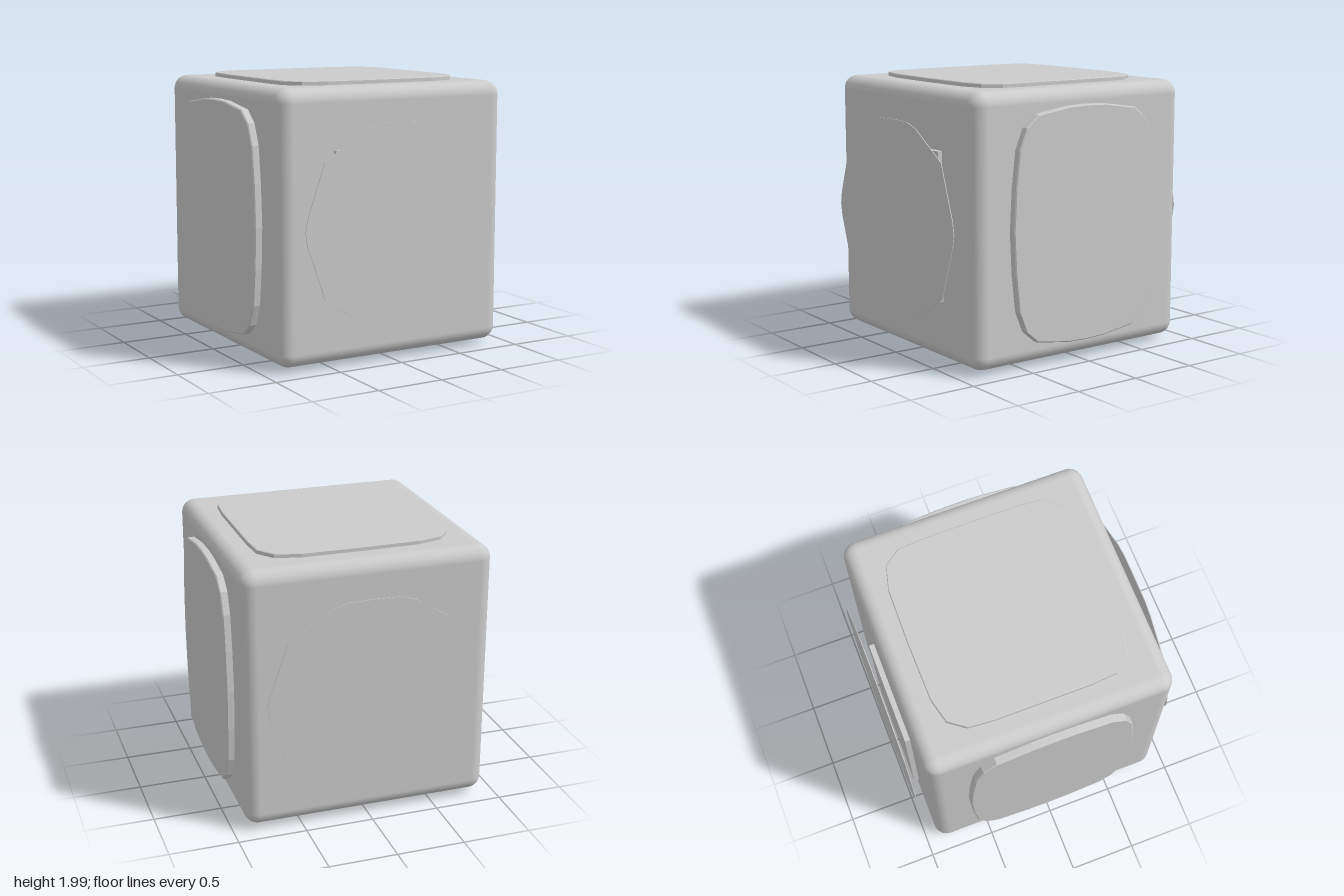
import * as THREE from 'three';
import { RoundedBoxGeometry } from 'three/addons/geometries/RoundedBoxGeometry.js';

const CY = 0.995; // height of the cube's centre

// Mirrors one quadrant of an outline (from the +x axis up to the +y axis) into a closed shape.
function mirroredShape(quadrant) {
  const half = [...quadrant, ...quadrant.slice(0, -1).reverse().map(([x, y]) => [-x, y])];
  const lower = half.slice(1, -1).reverse().map(([x, y]) => [x, -y]);
  return new THREE.Shape([...half, ...lower].map(([x, y]) => new THREE.Vector2(x, y)));
}

// Flat panel growing along +z from z = 0, with an optional small bevel at its outer rim.
function panelGeometry(quadrant, depth, bevel = 0) {
  return new THREE.ExtrudeGeometry(mirroredShape(quadrant), {
    depth: depth - bevel,
    bevelEnabled: bevel > 0,
    bevelThickness: bevel,
    bevelSize: bevel,
    bevelOffset: -bevel,
    bevelSegments: 1,
  });
}

export function createModel() {
  const group = new THREE.Group();
  const material = new THREE.MeshStandardMaterial({ color: 0xcccccc });

  const add = (name, geometry, position, rotation = [0, 0, 0]) => {
    const mesh = new THREE.Mesh(geometry, material);
    mesh.name = name;
    mesh.position.set(...position);
    mesh.rotation.set(...rotation);
    group.add(mesh);
  };

  // Rounded cube body
  add('body', new RoundedBoxGeometry(1.82, 1.92, 1.82, 5, 0.1), [0, CY + 0.002, 0]);

  // Tall raised panels on the left and right
  const side = panelGeometry([
    [0.635, 0], [0.62, 0.3], [0.59, 0.56], [0.53, 0.71], [0.43, 0.795], [0.16, 0.835], [0, 0.84],
  ], 0.065, 0.008);
  add('leftPanel', side, [0.9, CY, 0], [0, Math.PI / 2, 0]);
  add('rightPanel', side, [-0.9, CY, 0], [0, -Math.PI / 2, 0]);

  // Squarish raised panels on the top and bottom
  const cap = panelGeometry([
    [0.715, 0], [0.715, 0.35], [0.7, 0.54], [0.61, 0.66], [0.43, 0.705], [0, 0.712],
  ], 0.045, 0.005);
  add('topPanel', cap, [0, 1.942, 0], [-Math.PI / 2, 0, 0]);
  add('bottomPanel', cap, [0, 0.047, 0], [Math.PI / 2, 0, 0]);

  // Thin many-sided discs standing just off the front and back
  const disc = panelGeometry([
    [0.77, 0], [0.755, 0.09], [0.62, 0.475], [0.3, 0.675], [0.19, 0.71], [0, 0.715],
  ], 0.006);
  add('frontDisc', disc, [0, CY, 0.994]);
  add('backDisc', disc, [0, CY, -0.994], [0, Math.PI, 0]);

  // Low plates between the body and the discs
  const frontPlate = new THREE.BoxGeometry(1.0, 1.06, 0.06);
  const backPlate = new THREE.BoxGeometry(0.77, 1.06, 0.06);
  add('frontPlate', frontPlate, [0, 1.0, 0.915]);
  add('backPlate', backPlate, [-0.12, 1.0, -0.918]);

  return group;
}
